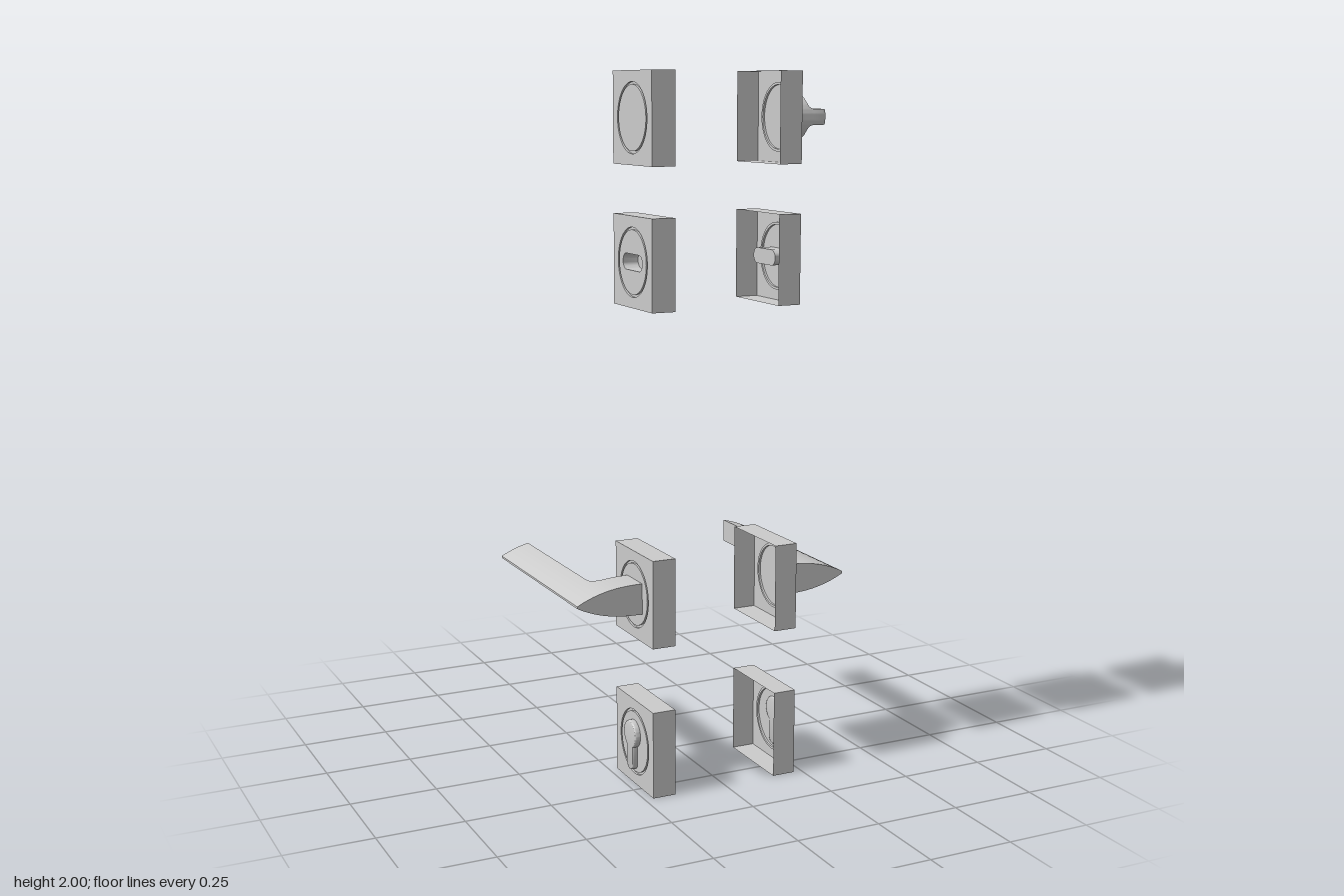
import * as THREE from 'three';
import { toCreasedNormals } from 'three/addons/utils/BufferGeometryUtils.js';

const material = new THREE.MeshStandardMaterial({ color: 0xcccccc, side: THREE.DoubleSide });
const HALF = 0.125, DEPTH = 0.068, FACE_X = 0.225, CENTRE_Z = 0.205;
const GROOVE_OUT = 0.095, GROOVE_IN = 0.088;

function addMesh(parent, name, geometry) {
  const mesh = new THREE.Mesh(geometry, material);
  mesh.name = name;
  parent.add(mesh);
  return mesh;
}

// Skins a stack of counterclockwise rings; each ring is { d, points: [[u, y], ...] }
function loft(rings, { capStart = false, capEnd = false, crease = 0.6 } = {}) {
  const out = [];
  const put = (ring, i) => {
    const p = ring.points[i % ring.points.length];
    out.push(p[0], p[1], ring.d);
  };
  const n = rings[0].points.length;
  for (let k = 0; k < rings.length - 1; k++) {
    const a = rings[k], b = rings[k + 1];
    for (let i = 0; i < n; i++) {
      put(a, i); put(a, i + 1); put(b, i + 1);
      put(a, i); put(b, i + 1); put(b, i);
    }
  }
  const last = rings[rings.length - 1];
  for (let i = 1; i < n - 1; i++) {
    if (capStart) { put(rings[0], 0); put(rings[0], i + 1); put(rings[0], i); }
    if (capEnd) { put(last, 0); put(last, i); put(last, i + 1); }
  }
  const geometry = new THREE.BufferGeometry();
  geometry.setAttribute('position', new THREE.Float32BufferAttribute(out, 3));
  return toCreasedNormals(geometry, crease);
}

function rectangle(u0, u1, h) {
  return [[u0, -h], [u1, -h], [u1, h], [u0, h]];
}

function slotPoints(halfLength, r, steps = 12) {
  const points = [];
  for (const side of [1, -1]) {
    for (let i = 0; i <= steps; i++) {
      const a = -Math.PI / 2 + (Math.PI * i) / steps;
      points.push([side * ((halfLength - r) + r * Math.cos(a)), side * r * Math.sin(a)]);
    }
  }
  return points;
}

// Hollow square cover, open at the back, with a grooved round inlay
function addPlate(parent, slot) {
  const square = rectangle(-HALF, HALF, HALF);
  addMesh(parent, 'plateSides', loft([{ d: -DEPTH, points: square }, { d: 0, points: square }]));

  const face = new THREE.Shape(square.map(p => new THREE.Vector2(...p)));
  face.holes.push(new THREE.Path().absarc(0, 0, GROOVE_OUT, 0, Math.PI * 2, true));
  addMesh(parent, 'plateFace', new THREE.ShapeGeometry(face, 32));

  const profile = [[GROOVE_IN, 0], [GROOVE_IN, -0.006], [GROOVE_OUT, -0.006], [GROOVE_OUT, 0]];
  const groove = new THREE.LatheGeometry(profile.map(p => new THREE.Vector2(...p)), 64);
  groove.rotateX(Math.PI / 2);
  addMesh(parent, 'inlayGroove', toCreasedNormals(groove, 0.6));

  const disc = new THREE.Shape().absarc(0, 0, GROOVE_IN, 0, Math.PI * 2);
  if (slot) disc.holes.push(new THREE.Path(slot.map(p => new THREE.Vector2(...p))));
  addMesh(parent, 'inlayDisc', new THREE.ShapeGeometry(disc, 32));
}

// Turn knob: a round boss scooped above and below to leave a flat grip
function addKnob(parent) {
  const R = 0.063;
  const sections = [
    [0, R, R], [0.047, R, R], [0.051, R, 0.062], [0.054, R, 0.059], [0.056, R, 0.054],
    [0.057, R, 0.042], [0.059, R, 0.034], [0.062, R, 0.028], [0.067, R, 0.024], [0.073, R, 0.022],
    [0.102, R, 0.022], [0.108, 0.061, 0.0215], [0.112, 0.058, 0.020], [0.115, 0.052, 0.017],
  ];
  const rings = sections.map(([d, r, h]) => {
    const points = [];
    for (let i = 0; i < 64; i++) {
      const a = (i / 64) * Math.PI * 2;
      points.push([r * Math.cos(a), THREE.MathUtils.clamp(r * Math.sin(a), -h, h)]);
    }
    return { d, points };
  });
  addMesh(parent, 'turnKnob', loft(rings, { capEnd: true, crease: 0.7 }));
}

// Recessed coin slot, its cup showing inside the cover
function addSlotCup(parent, slot) {
  addMesh(parent, 'slotCup', loft([{ d: -0.045, points: slot }, { d: 0, points: slot }], { capStart: true }));
}

// Raised lock cylinder: round head above a narrow rounded stem
function addLockCylinder(parent) {
  const r = 0.037, w = 0.017, top = 0.025, bottom = -0.06;
  const start = Math.asin(w / r);
  const shape = new THREE.Shape();
  shape.absarc(0, top, r, -Math.PI / 2 + start, Math.PI * 1.5 - start, false);
  shape.absarc(0, bottom, w, Math.PI, Math.PI * 2, false);
  shape.closePath();
  const geometry = new THREE.ExtrudeGeometry(shape, {
    depth: 0.012, curveSegments: 24, bevelThickness: 0.004, bevelSize: 0.003, bevelSegments: 3,
  });
  addMesh(parent, 'lockCylinder', toCreasedNormals(geometry, 0.6));
}

// L-shaped lever whose thickness tapers outward to a thin edge
function addLever(parent) {
  const reach = 0.195, inner = 0.11, fillet = 0.035, u0 = -0.055, neck = 0.045, tip = 0.538;
  const thickness = d => 0.003 + 0.041 * (1 - Math.pow(d / reach, 2.5));
  const section = (d, u1) => ({ d, points: rectangle(u0, u1, thickness(d)) });
  const rings = [];
  for (let i = 0; i <= 6; i++) rings.push(section(((inner - fillet) * i) / 6, neck));
  for (let i = 1; i <= 10; i++) {
    const a = (Math.PI / 2) * (i / 10);
    rings.push(section(inner - fillet + fillet * Math.sin(a), neck + fillet * (1 - Math.cos(a))));
  }
  for (let i = 0; i <= 12; i++) rings.push(section(inner + ((reach - inner) * i) / 12, tip));
  return addMesh(parent, 'leverHandle', loft(rings, { capEnd: true }));
}

export function createModel() {
  const model = new THREE.Group();
  model.name = 'doorHandleSet';
  const slot = slotPoints(0.063, 0.022);

  for (const side of [1, -1]) {
    const prefix = side > 0 ? 'left' : 'right';
    const station = (name, y) => {
      const group = new THREE.Group();
      group.name = prefix + name;
      group.position.set(side * FACE_X, y, CENTRE_Z);
      group.rotation.y = (side * Math.PI) / 2;
      addPlate(group, name === 'SlotPlate' ? slot : null);
      model.add(group);
      return group;
    };

    const turnPlate = station('TurnPlate', 1.875);
    if (side > 0) addKnob(turnPlate);

    addSlotCup(station('SlotPlate', 1.49), slot);

    // Both levers point the same way, so the second is turned over
    const lever = addLever(station('LeverPlate', 0.56));
    if (side < 0) lever.rotation.z = Math.PI;

    addLockCylinder(station('LockPlate', 0.125));
  }
  return model;
}
